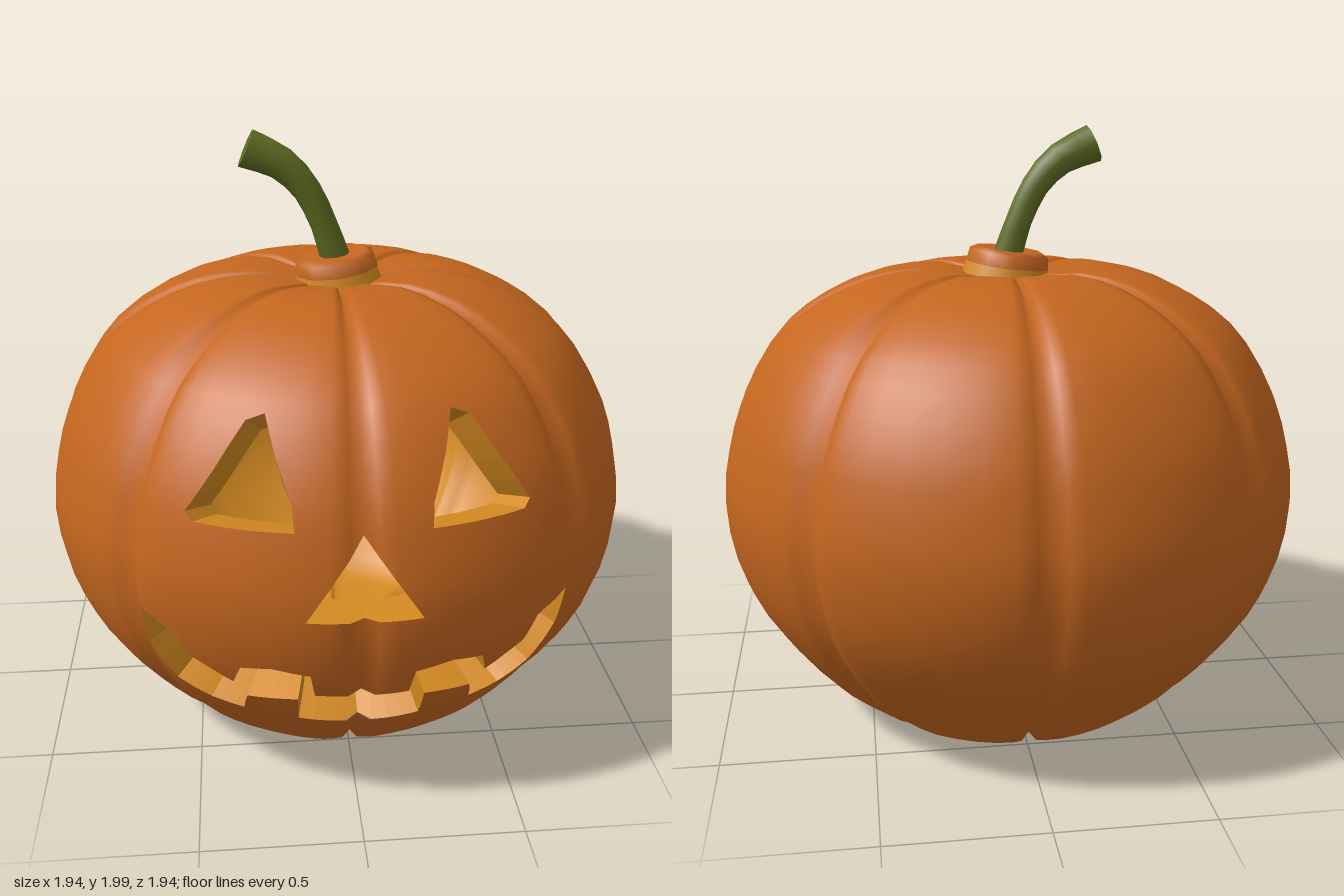
import * as THREE from 'three';

const skin = new THREE.MeshStandardMaterial({ name: 'pumpkin skin', color: 0xc4661f });
const flesh = new THREE.MeshStandardMaterial({ name: 'pumpkin flesh', color: 0xd48a22, side: THREE.DoubleSide });
const green = new THREE.MeshStandardMaterial({ name: 'stem green', color: 0x5f6b22 });

const CENTRE = new THREE.Vector3(0, 0.77, 0);
const INNER = 0.86; // size of the hollow relative to the outside

// Half profile (radius, height) from the bottom hole to the top hole
const profile = new THREE.SplineCurve([
  [0.11, 0.045], [0.25, 0.015], [0.49, 0.02], [0.6, 0.09], [0.72, 0.2], [0.87, 0.4], [0.95, 0.58],
  [0.98, 0.78], [0.955, 0.96], [0.9, 1.13], [0.79, 1.31], [0.66, 1.42], [0.49, 1.5], [0.3, 1.532], [0.12, 1.51],
].map(([r, y]) => new THREE.Vector2(r, y)));

// Point on the skin; eight narrow grooves divide it into lobes
function surface(theta, v, scale = 1) {
  const p = profile.getPoint(v);
  const lobe = Math.PI / 4;
  const d = Math.abs(theta - Math.round(theta / lobe) * lobe);
  const groove = 0.026 * Math.max(0, 1 - d / 0.045) + 0.012 * Math.max(0, 1 - d / 0.2) ** 2;
  return new THREE.Vector3(p.x * Math.sin(theta), p.y, p.x * Math.cos(theta))
    .sub(CENTRE).multiplyScalar((1 - groove) * scale).add(CENTRE);
}

function surfaceNormal(theta, v) {
  const e = 0.012;
  const du = surface(theta + e, v).sub(surface(theta - e, v));
  const dv = surface(theta, Math.min(1, v + e)).sub(surface(theta, Math.max(0, v - e)));
  return du.cross(dv).normalize();
}

// Front-view outline point (x, y) to surface parameters (theta, v)
function toSurface([x, y]) {
  let lo = 0.12, hi = 0.95;
  for (let i = 0; i < 40; i++) {
    const mid = (lo + hi) / 2;
    if (profile.getPoint(mid).y < y) lo = mid; else hi = mid;
  }
  return [Math.asin(x / profile.getPoint(lo).x), lo];
}

const mirror = (pts) => pts.map(([x, y]) => [-x, y]);

// Carved openings
const eye = [[0.265, 1.32], [0.32, 1.3], [0.5, 1.05], [0.48, 1.025], [0.195, 1.03], [0.2, 1.1]];
const nose = [[0, 1.02], [0.17, 0.77], [0, 0.765], [-0.17, 0.77]];
const mouthHalf = [
  [0.185, 0.335], [0.19, 0.455], [0.34, 0.44], [0.35, 0.355], [0.45, 0.375], [0.555, 0.425], [0.635, 0.56],
  [0.655, 0.7], [0.545, 0.66], [0.505, 0.578], [0.38, 0.505], [0.365, 0.575], [0.27, 0.59], [0.155, 0.57], [0.14, 0.48],
];
const mouth = [[0, 0.3], ...mouthHalf, [0, 0.465], ...mirror(mouthHalf).reverse()];
const openings = [eye, mirror(eye), nose, mouth].map((o) => o.map(toSurface));

// Collects triangles with normals
class Builder {
  constructor() { this.pos = []; this.nor = []; }
  tri(pts, normals) {
    const [a, b, c] = pts;
    const n = b.clone().sub(a).cross(c.clone().sub(a));
    if (n.length() < 1e-9) return;
    n.normalize();
    pts.forEach((p, i) => {
      this.pos.push(p.x, p.y, p.z);
      const m = normals ? normals[i] : n;
      this.nor.push(m.x, m.y, m.z);
    });
  }
  geometry() {
    const g = new THREE.BufferGeometry();
    g.setAttribute('position', new THREE.Float32BufferAttribute(this.pos, 3));
    g.setAttribute('normal', new THREE.Float32BufferAttribute(this.nor, 3));
    return g;
  }
}

function addMesh(group, name, geometry, material) {
  const mesh = new THREE.Mesh(geometry, material);
  mesh.name = name;
  group.add(mesh);
  return mesh;
}

function buildShell(group) {
  const outer = new Builder(), inner = new Builder(), walls = new Builder();

  // Column angles: the lobes' own plus every corner of the openings
  const angles = openings.flat().map((p) => p[0]);
  for (let k = -4; k < 4; k++) {
    for (const f of [0, 0.045, 0.1, 0.2, 0.33, 0.46, 0.585, 0.685, 0.74]) angles.push(k * Math.PI / 4 + f);
  }
  angles.push(Math.PI);
  angles.sort((a, b) => a - b);
  const rows = 30;

  const cell = (corners) => {
    const o = corners.map(([t, v]) => surface(t, v));
    const i = corners.map(([t, v]) => surface(t, v, INNER));
    const n = corners.map(([t, v]) => surfaceNormal(t, v));
    const m = n.map((x) => x.clone().negate());
    for (const [a, b, c] of [[0, 1, 2], [0, 2, 3]]) {
      outer.tri([o[a], o[b], o[c]], [n[a], n[b], n[c]]);
      inner.tri([i[a], i[c], i[b]], [m[a], m[c], m[b]]);
    }
  };

  for (let k = 0; k + 1 < angles.length; k++) {
    const a = angles[k], b = angles[k + 1], mid = (a + b) / 2;
    if (b - a < 1e-6) continue;
    // Opening edges crossing this column, from bottom to top
    const cuts = [[0, 0], [1, 1]];
    for (const o of openings) {
      o.forEach((p, i) => {
        const q = o[(i + 1) % o.length];
        if ((p[0] < mid) === (q[0] < mid)) return;
        const at = (t) => p[1] + (q[1] - p[1]) * (t - p[0]) / (q[0] - p[0]);
        cuts.push([at(a), at(b)]);
      });
    }
    cuts.sort((p, q) => p[0] + p[1] - q[0] - q[1]);
    // Solid stretches between the cuts
    for (let c = 0; c < cuts.length; c += 2) {
      const [lowA, lowB] = cuts[c], [topA, topB] = cuts[c + 1];
      for (let r = 0; r < rows; r++) {
        const clampA = (v) => Math.min(topA, Math.max(lowA, v));
        const clampB = (v) => Math.min(topB, Math.max(lowB, v));
        const v0 = r / rows, v1 = (r + 1) / rows;
        cell([[a, clampA(v0)], [b, clampB(v0)], [b, clampB(v1)], [a, clampA(v1)]]);
      }
    }
  }

  // Cut faces through the thickness of the wall
  for (const o of openings) {
    o.forEach((p, i) => {
      const q = o[(i + 1) % o.length], steps = 4;
      const at = (s, scale) => surface(p[0] + (q[0] - p[0]) * s, p[1] + (q[1] - p[1]) * s, scale);
      for (let s = 0; s < steps; s++) {
        const s0 = s / steps, s1 = (s + 1) / steps;
        walls.tri([at(s0, 1), at(s1, 1), at(s1, INNER)]);
        walls.tri([at(s0, 1), at(s1, INNER), at(s0, INNER)]);
      }
    });
  }
  addMesh(group, 'shell', outer.geometry(), skin);
  addMesh(group, 'hollow', inner.geometry(), flesh);
  addMesh(group, 'carvedEdges', walls.geometry(), flesh);
}

// Tube along a curve whose radius follows a list, with closed ends
function taperedTube(group, name, points, radii, sides) {
  const curve = new THREE.CatmullRomCurve3(points.map(([x, y]) => new THREE.Vector3(x, y, 0)));
  const seg = (points.length - 1) * 2;
  const g = new THREE.TubeGeometry(curve, seg, 1, sides);
  const pos = g.attributes.position, p = new THREE.Vector3();
  for (let i = 0; i < pos.count; i++) {
    const u = Math.floor(i / (sides + 1)) / seg, f = u * (radii.length - 1), j = Math.min(radii.length - 2, Math.floor(f));
    const c = curve.getPointAt(u);
    p.fromBufferAttribute(pos, i).sub(c).multiplyScalar(radii[j] + (radii[j + 1] - radii[j]) * (f - j)).add(c);
    pos.setXYZ(i, p.x, p.y, p.z);
  }
  addMesh(group, name, g, green);
  for (const [u, dir] of [[0, -1], [1, 1]]) {
    const cap = addMesh(group, name + 'End', new THREE.CircleGeometry(radii[u ? radii.length - 1 : 0], sides), green);
    cap.position.copy(curve.getPointAt(u));
    cap.quaternion.setFromUnitVectors(new THREE.Vector3(0, 0, 1), curve.getTangentAt(u).multiplyScalar(dir));
  }
}

export function createModel() {
  const model = new THREE.Group();
  model.name = 'carvedPumpkin';
  buildShell(model);

  // Slightly tilted lid around the stem
  const lid = new THREE.Group();
  lid.name = 'lid';
  lid.position.set(0, 1.55, 0);
  lid.rotation.z = 0.13;
  const collar = [[0.142, -0.012], [0.135, 0.03], [0.11, 0.042], [0.001, 0.03]].map(([r, y]) => new THREE.Vector2(r, y));
  addMesh(lid, 'lidTop', new THREE.LatheGeometry(collar, 10), skin);
  addMesh(lid, 'lidRim', new THREE.CylinderGeometry(0.14, 0.15, 0.04, 10), flesh).position.y = -0.032;
  model.add(lid);

  // Curved stem above, and its straight root hanging inside
  taperedTube(model, 'stem', [[0.0, 1.57], [-0.04, 1.69], [-0.1, 1.81], [-0.18, 1.89], [-0.29, 1.938]],
    [0.05, 0.044, 0.046, 0.054, 0.064], 8);
  taperedTube(model, 'stemRoot', [[0, 1.5], [0, 1.0], [-0.02, 0.62]], [0.06, 0.055, 0.05], 8);

  // Plug closing the underside
  addMesh(model, 'underside', new THREE.CylinderGeometry(0.16, 0.16, 0.01, 10), flesh).position.y = 0.062;
  addMesh(model, 'basePlug', new THREE.CylinderGeometry(0.1, 0.1, 0.02, 10), green).position.y = 0.05;
  return model;
}
